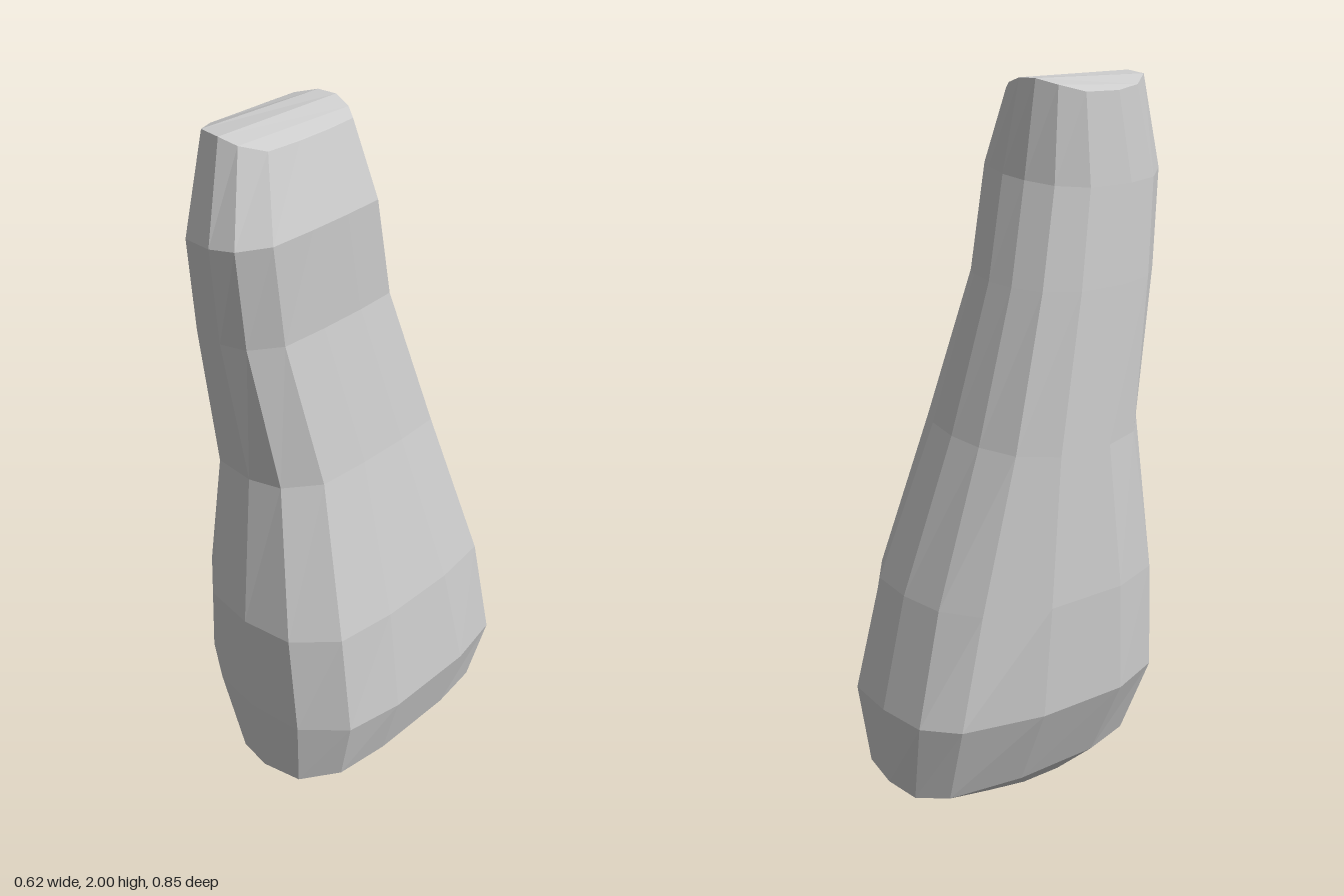
import * as THREE from 'three';

// Unit cross-sections, counter-clockwise from above: front -x to +x, then back +x to -x
const baseSection = [
  [-1, 0.39], [-0.84, 0.78], [-0.45, 0.96], [0, 1], [0.55, 0.95], [0.9, 0.71], [1, 0.32],
  [1, -0.33], [0.9, -0.71], [0.55, -0.96], [0.06, -1], [-0.42, -0.97], [-0.71, -0.79], [-0.94, -0.25],
];
const neckSection = [
  [-1, 0.13], [-0.86, 0.56], [-0.42, 0.94], [0.2, 1], [0.63, 0.92], [0.97, 0.62], [1, 0.1],
  [1, -0.4], [0.97, -0.86], [0.7, -0.95], [0.25, -1], [-0.2, -0.95], [-0.66, -0.79], [-0.97, -0.46],
];

// Rings from bottom to top: y, xMin, xMax, zMin, zMax, sideways tilt, arch, blend from base to neck
const rings = [
  [0.01, -0.145, 0.15, -0.19, 0.19, -0.01, 0, 0],
  [0.08, -0.2, 0.25, -0.4, 0.4, 0.015, -0.015, 0],
  [0.33, -0.31, 0.31, -0.425, 0.42, 0, 0, 0],
  [0.65, -0.31, 0.27, -0.345, 0.425, 0, 0, 0.4],
  [1.08, -0.28, 0.155, -0.2, 0.36, 0.02, 0, 0.9],
  [1.49, -0.255, 0.08, -0.1, 0.4, 0.01, 0, 0.9],
  [1.755, -0.235, 0.08, -0.045, 0.425, 0.02, 0, 1],
  [2.0, -0.213, 0.012, -0.02, 0.35, 0, 0.035, 1],
];

function loft() {
  const n = baseSection.length;
  const positions = [];
  const index = [];
  const quad = (a, b, c, d) => index.push(a, b, c, a, c, d);
  const lerp = THREE.MathUtils.lerp;

  for (const [y, x0, x1, z0, z1, tilt, arch, blend] of rings) {
    for (let i = 0; i < n; i++) {
      const u = lerp(baseSection[i][0], neckSection[i][0], blend);
      const v = lerp(baseSection[i][1], neckSection[i][1], blend);
      positions.push(
        (x0 + x1) / 2 + u * (x1 - x0) / 2,
        y + tilt * u - arch * u * u,
        (z0 + z1) / 2 + v * (z1 - z0) / 2
      );
    }
  }

  // Side walls
  for (let r = 0; r < rings.length - 1; r++) {
    for (let i = 0; i < n; i++) {
      const j = (i + 1) % n;
      quad(r * n + i, r * n + j, (r + 1) * n + j, (r + 1) * n + i);
    }
  }

  // Caps, as strips running front to back
  const top = (rings.length - 1) * n;
  for (let i = 0; i < n / 2 - 1; i++) {
    quad(top + i, top + i + 1, top + n - 2 - i, top + n - 1 - i);
    quad(n - 1 - i, n - 2 - i, i + 1, i);
  }

  const geometry = new THREE.BufferGeometry();
  geometry.setAttribute('position', new THREE.Float32BufferAttribute(positions, 3));
  geometry.setIndex(index);
  const faceted = geometry.toNonIndexed();
  faceted.computeVertexNormals();
  return faceted;
}

export function createModel() {
  const group = new THREE.Group();
  group.name = 'taperedStone';
  const body = new THREE.Mesh(
    loft(),
    new THREE.MeshStandardMaterial({ color: 0xcccccc, flatShading: true })
  );
  body.name = 'stoneBody';
  group.add(body);
  return group;
}
